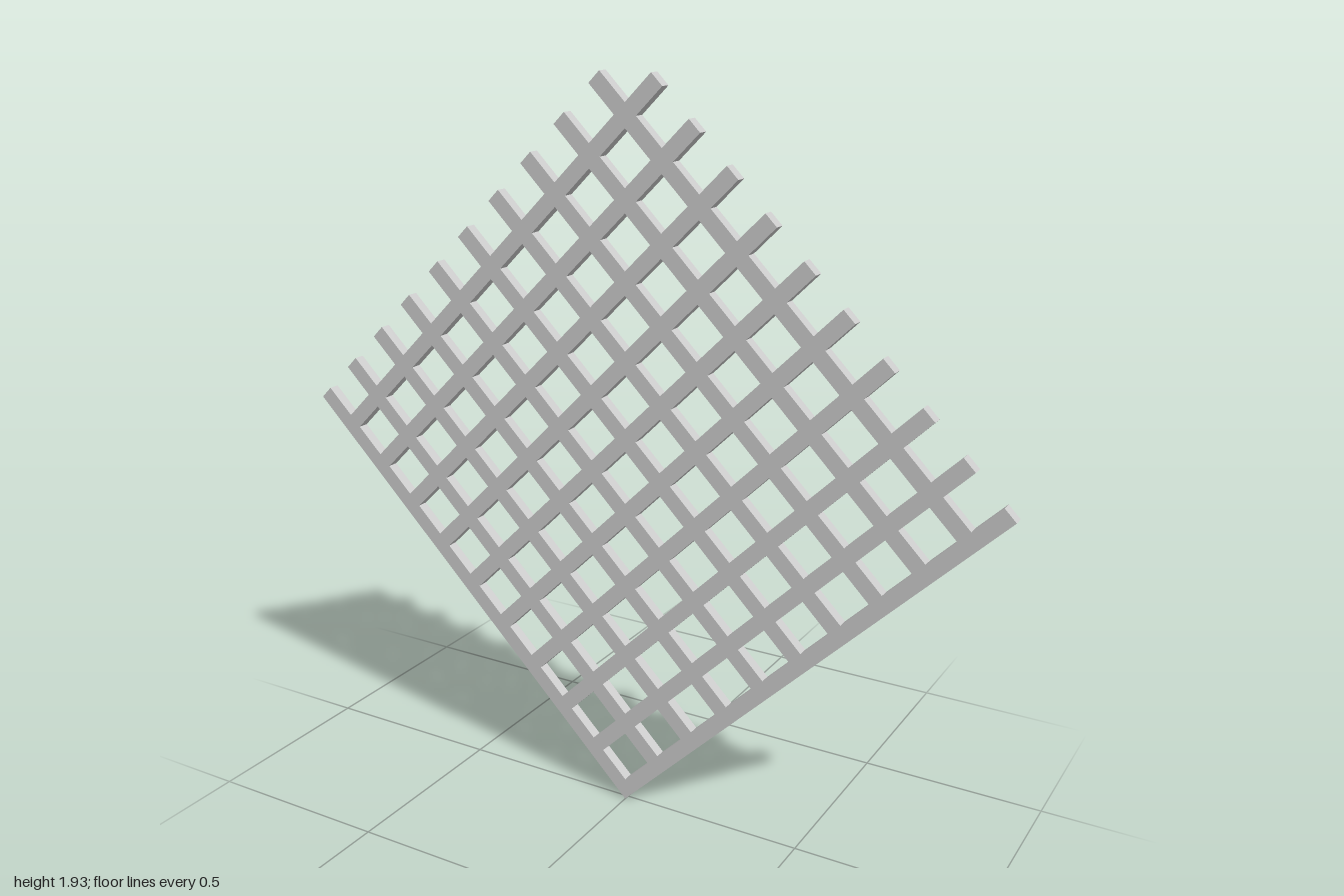
import * as THREE from 'three';

const COUNT = 10;                 // slats in each direction
const LENGTH = Math.SQRT2;        // slat length
const PITCH = LENGTH / COUNT;     // distance between slats
const WIDTH = PITCH * 0.3;        // slat width
const DEPTH = 0.03;               // panel thickness

// Square lattice outline: two closed edges, two edges with protruding slat ends
function latticeShape() {
  const inner = (COUNT - 1) * PITCH + WIDTH;
  const points = [[0, 0]];
  for (let i = 0; i < COUNT; i++) {
    const a = i * PITCH, b = a + WIDTH;
    if (i > 0) points.push([inner, a]);
    points.push([LENGTH, a], [LENGTH, b], [inner, b]);
  }
  for (let i = COUNT - 1; i >= 0; i--) {
    const a = i * PITCH, b = a + WIDTH;
    if (i < COUNT - 1) points.push([b, inner]);
    points.push([b, LENGTH], [a, LENGTH]);
    if (i > 0) points.push([a, inner]);
  }
  const shape = new THREE.Shape(points.map(([x, y]) => new THREE.Vector2(x, y)));

  // Square openings between the slats
  for (let i = 0; i < COUNT - 1; i++) {
    for (let j = 0; j < COUNT - 1; j++) {
      const x0 = i * PITCH + WIDTH, x1 = (i + 1) * PITCH;
      const y0 = j * PITCH + WIDTH, y1 = (j + 1) * PITCH;
      shape.holes.push(new THREE.Path([
        new THREE.Vector2(x0, y0), new THREE.Vector2(x0, y1),
        new THREE.Vector2(x1, y1), new THREE.Vector2(x1, y0),
      ]));
    }
  }
  return shape;
}

export function createModel() {
  const group = new THREE.Group();
  group.name = 'trellis';

  // Lattice panel standing on its corner
  const geometry = new THREE.ExtrudeGeometry(latticeShape(), { depth: DEPTH, bevelEnabled: false });
  geometry.translate(0, 0, -DEPTH / 2);
  geometry.rotateZ(Math.PI / 4);
  const panel = new THREE.Mesh(geometry, new THREE.MeshStandardMaterial({ color: 0xcccccc }));
  panel.name = 'latticePanel';
  group.add(panel);

  return group;
}
